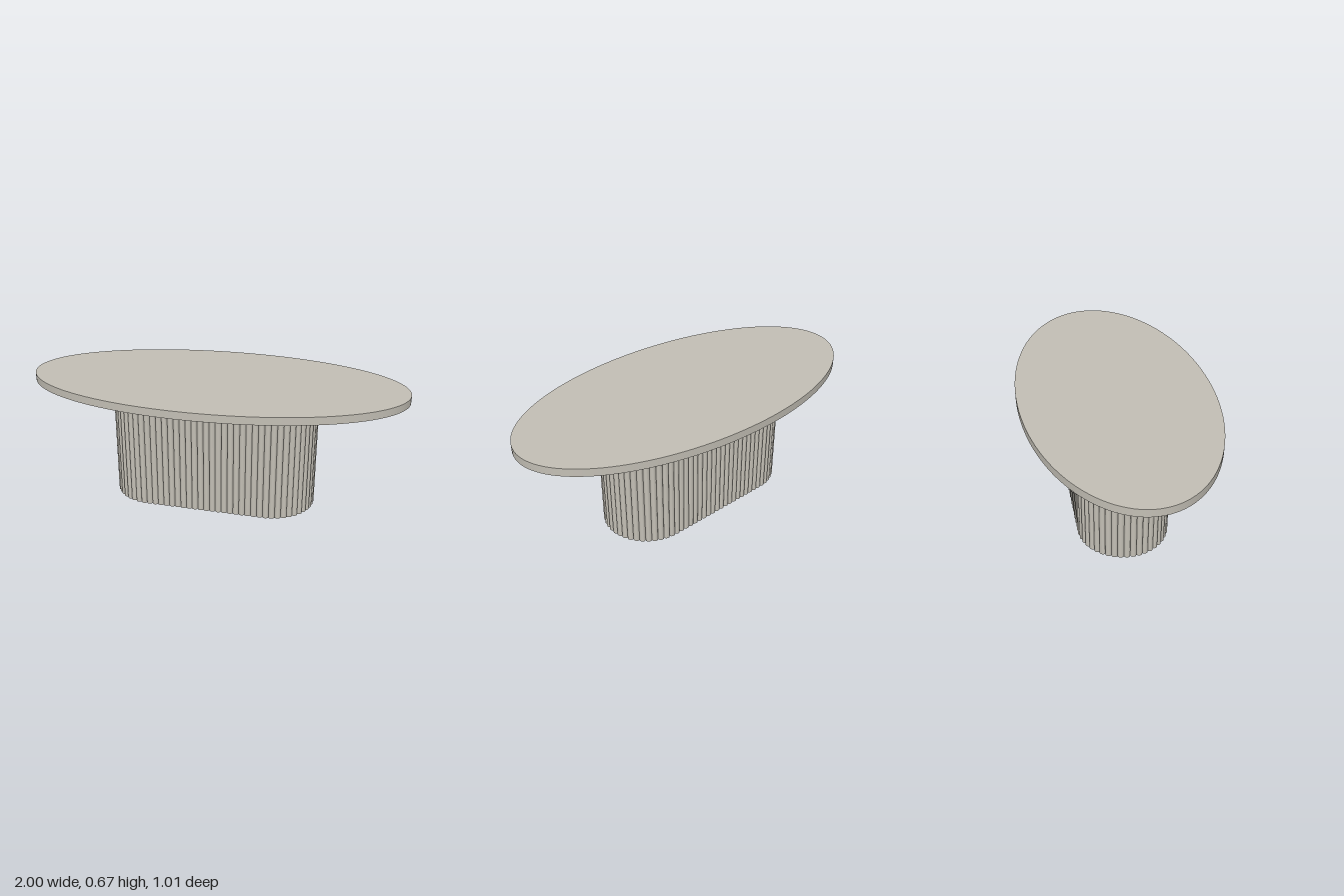
import * as THREE from 'three';
import { toCreasedNormals } from 'three/addons/utils/BufferGeometryUtils.js';

const HEIGHT = 0.667, TOP_THICKNESS = 0.04;
const BASE_HEIGHT = HEIGHT - TOP_THICKNESS;
const STRAIGHT = 0.632, RADIUS = 0.225; // stadium path through the rib valleys
const RIBS = 84, RIB_DEPTH = 0.014, RIB_STEPS = 8;

// Point and outward normal at distance d around the stadium, counter-clockwise
function stadium(d) {
  const arc = Math.PI * RADIUS, half = STRAIGHT + arc;
  const side = d % (2 * half) < half ? 1 : -1;
  const t = d % half;
  let x, y, nx, ny;
  if (t < arc) {
    const a = t / RADIUS - Math.PI / 2;
    nx = Math.cos(a);
    ny = Math.sin(a);
    x = STRAIGHT / 2 + RADIUS * nx;
    y = RADIUS * ny;
  } else {
    nx = 0;
    ny = 1;
    x = STRAIGHT / 2 - (t - arc);
    y = RADIUS;
  }
  return { x: side * x, y: side * y, nx: side * nx, ny: side * ny };
}

// Outline with one rounded rib per step along the stadium
function ribbedOutline() {
  const pitch = 2 * (STRAIGHT + Math.PI * RADIUS) / RIBS;
  const points = [];
  for (let i = 0; i < RIBS; i++) {
    for (let j = 0; j < RIB_STEPS; j++) {
      const a = Math.PI * j / RIB_STEPS;
      const p = stadium(pitch * (i + (1 - Math.cos(a)) / 2));
      const out = RIB_DEPTH * Math.sin(a);
      points.push(new THREE.Vector2(p.x + p.nx * out, p.y + p.ny * out));
    }
  }
  return new THREE.Shape(points);
}

export function createModel() {
  const group = new THREE.Group();
  group.name = 'ovalTable';
  const stone = new THREE.MeshStandardMaterial({ color: 0xc4c0b6 });
  stone.name = 'warm grey';

  // Oval table top
  const top = new THREE.Mesh(new THREE.CylinderGeometry(1, 1, TOP_THICKNESS, 128), stone);
  top.name = 'tableTop';
  top.scale.z = 0.505;
  top.position.y = HEIGHT - TOP_THICKNESS / 2;
  group.add(top);

  // Fluted pedestal, set slightly off centre
  const extruded = new THREE.ExtrudeGeometry(ribbedOutline(), { depth: BASE_HEIGHT, bevelEnabled: false });
  extruded.rotateX(-Math.PI / 2);
  const base = new THREE.Mesh(toCreasedNormals(extruded, 0.7), stone);
  base.name = 'flutedBase';
  base.position.set(-0.006, 0, -0.014);
  group.add(base);

  return group;
}
